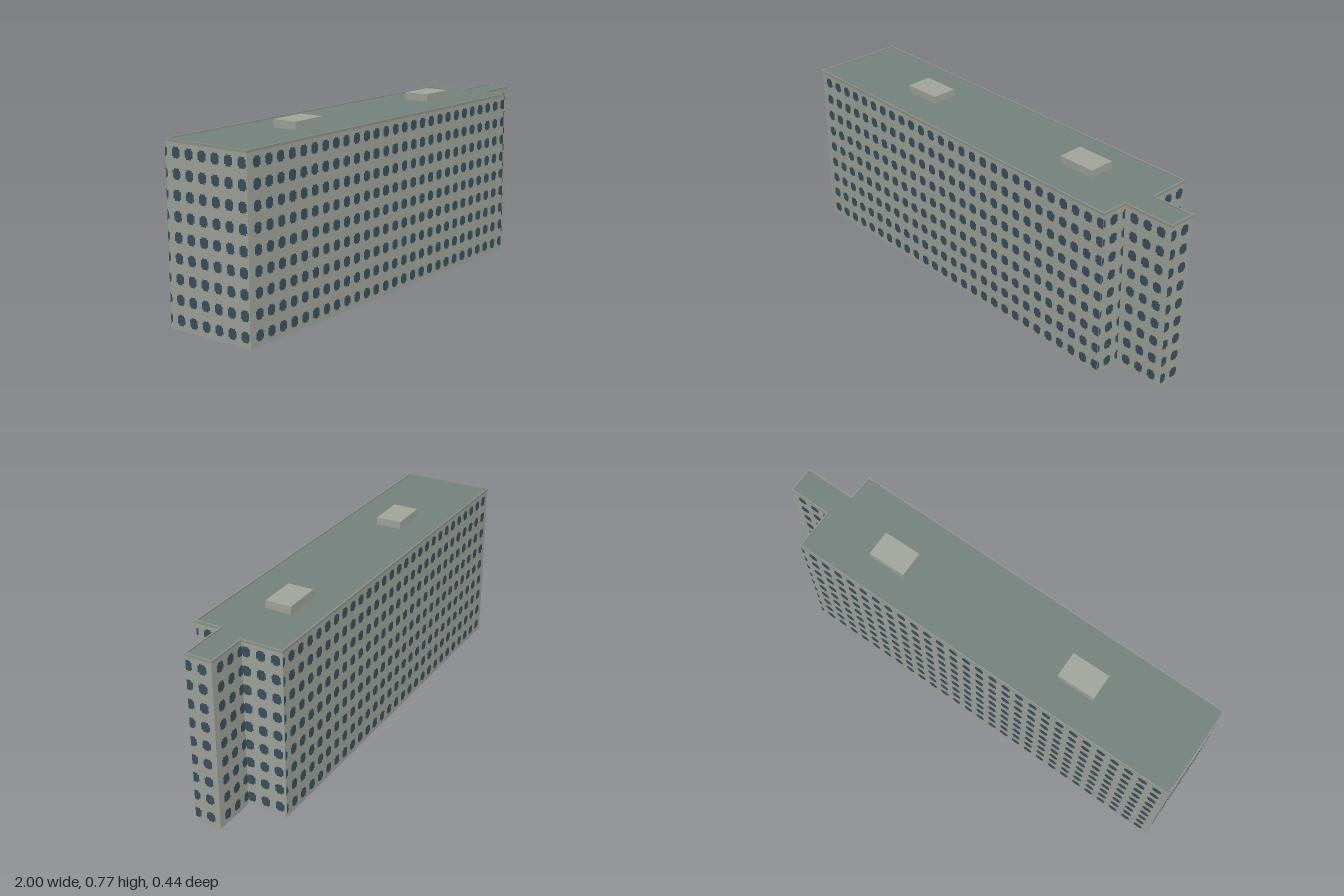
import * as THREE from 'three';

const mat = (name, color, extra = {}) => {
  const m = new THREE.MeshStandardMaterial({ color, ...extra });
  m.name = name;
  return m;
};

// Outer outline of the parapet as [x, z], running along the front towards +x
const OUTLINE = [
  [-1, 0.19], [0.767, 0.221], [0.77, 0.106], [0.996, 0.109],
  [1, -0.013], [0.811, -0.016], [0.813, -0.195], [-0.997, -0.222],
];

// Move every side of the outline inwards by d
function inset(points, d) {
  const n = points.length;
  const normal = (a, b) => {
    const dx = b[0] - a[0], dz = b[1] - a[1], l = Math.hypot(dx, dz);
    return [dz / l, -dx / l];
  };
  return points.map((p, i) => {
    const a = normal(points[(i + n - 1) % n], p);
    const b = normal(p, points[(i + 1) % n]);
    const k = d / (1 + a[0] * b[0] + a[1] * b[1]);
    return [p[0] + (a[0] + b[0]) * k, p[1] + (a[1] + b[1]) * k];
  });
}

const toVectors = (points) => points.map(([x, z]) => new THREE.Vector2(x, -z));

// Upright prism over a plan, optionally hollow
function prism(plan, y0, y1, hole) {
  const shape = new THREE.Shape(toVectors(plan));
  if (hole) shape.holes.push(new THREE.Path(toVectors(hole)));
  const g = new THREE.ExtrudeGeometry(shape, { depth: y1 - y0, bevelEnabled: false });
  return g.rotateX(-Math.PI / 2).translate(0, y0, 0);
}

// All windows of one wall: a regular grid, cut off at the wall's corners
function windowGrid(a, b) {
  const PITCH = 0.0653, ROW = 0.0816, W = 0.039, H = 0.043, NOTCH = 0.007, GAP = 0.0015;
  const dx = b[0] - a[0], dz = b[1] - a[1], len = Math.hypot(dx, dz);
  const axis = Math.abs(dx) > Math.abs(dz) ? 0 : 1;
  const span = b[axis] - a[axis];
  const n = [-dz / len, dx / len];
  const pos = [], nor = [];
  const quad = (c0, c1, y0, y1) => {
    let t0 = (c0 - a[axis]) / span, t1 = (c1 - a[axis]) / span;
    if (t0 > t1) [t0, t1] = [t1, t0];
    t0 = Math.max(t0, 0);
    t1 = Math.min(t1, 1);
    if (t1 - t0 < 1e-4) return;
    const at = (t, y) => [a[0] + dx * t + n[0] * GAP, y, a[1] + dz * t + n[1] * GAP];
    const p = [at(t0, y0), at(t1, y0), at(t1, y1), at(t0, y1)];
    for (const i of [0, 1, 2, 0, 2, 3]) {
      pos.push(...p[i]);
      nor.push(n[0], 0, n[1]);
    }
  };
  const lo = Math.min(a[axis], b[axis]), hi = Math.max(a[axis], b[axis]);
  for (let k = -17; k < 17; k++) {
    const c = (k + 0.5) * PITCH;
    // leave out slivers
    if (Math.min(hi, c + W / 2) - Math.max(lo, c - W / 2) < 0.006) continue;
    for (let r = 0; r < 9; r++) {
      const y = 0.043 + r * ROW, h = H / 2, w = W / 2;
      quad(c - w + NOTCH, c + w - NOTCH, y - h, y + h);
      quad(c - w, c - w + NOTCH, y - h + NOTCH, y + h - NOTCH);
      quad(c + w - NOTCH, c + w, y - h + NOTCH, y + h - NOTCH);
    }
  }
  const g = new THREE.BufferGeometry();
  g.setAttribute('position', new THREE.Float32BufferAttribute(pos, 3));
  g.setAttribute('normal', new THREE.Float32BufferAttribute(nor, 3));
  return g;
}

export function createModel() {
  const group = new THREE.Group();
  group.name = 'apartmentBlock';
  const wall = mat('concrete', 0xa3a79d);
  const roofMat = mat('roofing', 0x75837e);
  const glass = mat('windowBlue', 0x3a5260);
  const trim = mat('parapetGrey', 0x92968d);
  const add = (name, geometry, material) => {
    const m = new THREE.Mesh(geometry, material);
    m.name = name;
    group.add(m);
    return m;
  };

  // Walls, roof deck and parapet
  const plan = inset(OUTLINE, 0.003);
  add('walls', prism(plan, 0, 0.734), wall);
  add('roof', prism(plan, 0.734, 0.739), roofMat);
  add('parapet', prism(OUTLINE, 0.734, 0.745, inset(OUTLINE, 0.006)), trim);

  // Windows on every wall
  plan.forEach((p, i) => add('windows' + (i + 1), windowGrid(p, plan[(i + 1) % plan.length]), glass));

  // Two lift housings on the roof
  for (const x of [-0.465, 0.46]) {
    add('liftHousing', new THREE.BoxGeometry(0.17, 0.034, 0.114), wall).position.set(x, 0.755, -0.011);
  }
  return group;
}
